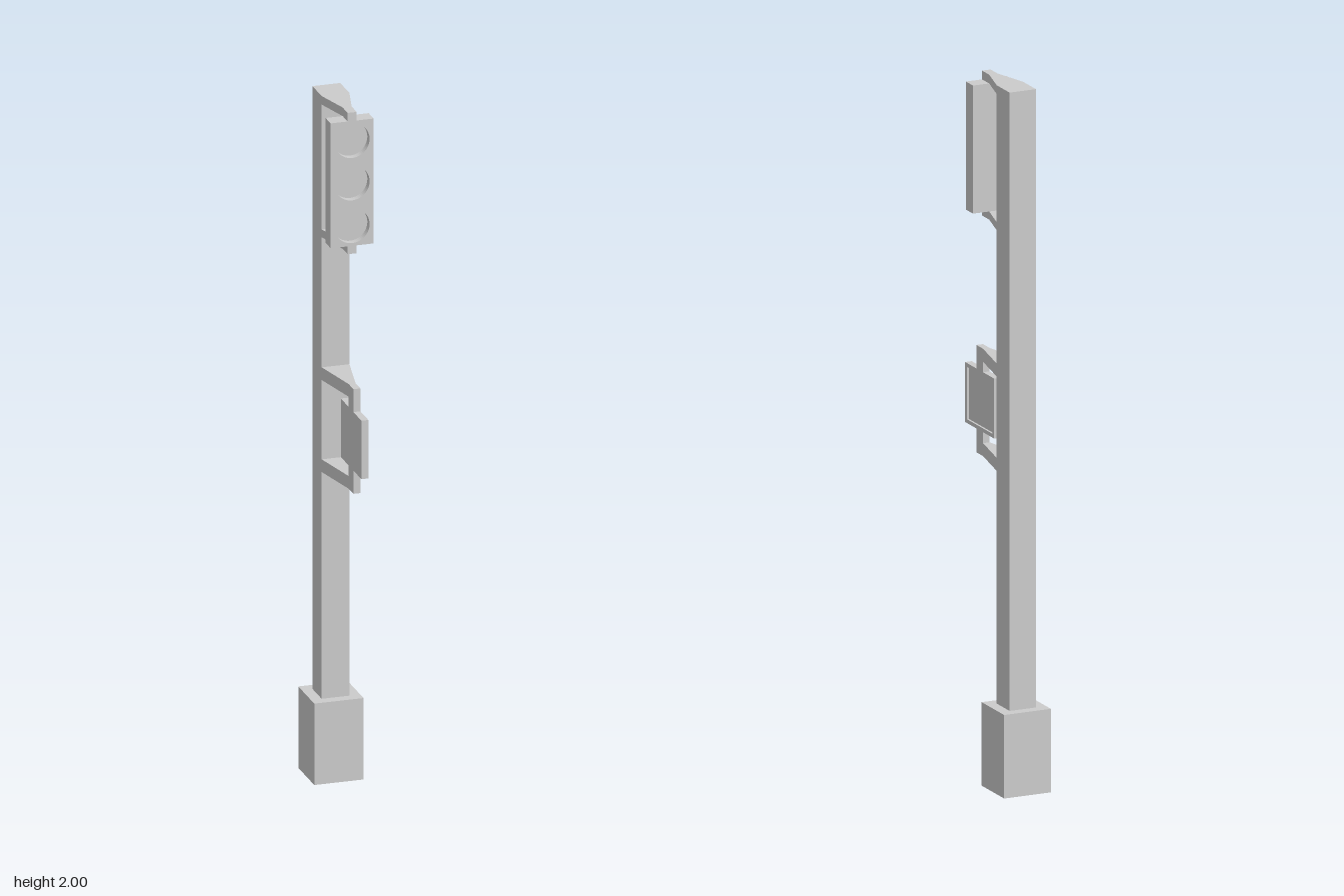
import * as THREE from 'three';

const material = new THREE.MeshStandardMaterial({ color: 0xcccccc, flatShading: true });

function add(parent, name, geometry) {
  const mesh = new THREE.Mesh(geometry, material);
  mesh.name = name;
  parent.add(mesh);
  return mesh;
}

// Box given by its limits on each axis
function box(parent, name, [x0, x1], [y0, y1], [z0, z1]) {
  const g = new THREE.BoxGeometry(x1 - x0, y1 - y0, z1 - z0);
  return add(parent, name, g.translate((x0 + x1) / 2, (y0 + y1) / 2, (z0 + z1) / 2));
}

// Horizontal arm: a mirrored plan outline of [half width, z] points, extruded upwards
function arm(parent, name, plan, y0, y1) {
  const right = plan.map(([x, z]) => new THREE.Vector2(x, -z));
  const left = plan.map(([x, z]) => new THREE.Vector2(-x, -z)).reverse();
  const g = new THREE.ExtrudeGeometry(new THREE.Shape([...right, ...left]), { depth: y1 - y0, bevelEnabled: false });
  return add(parent, name, g.rotateX(-Math.PI / 2).translate(0, y0, 0));
}

function rectangle(x0, x1, y0, y1) {
  return [[x0, y0], [x1, y0], [x1, y1], [x0, y1]].map(([x, y]) => new THREE.Vector2(x, y));
}

export function createModel() {
  const model = new THREE.Group();
  model.name = 'trafficLight';

  // Footing and pole
  box(model, 'base', [-0.071, 0.071], [0, 0.238], [-0.187, -0.045]);
  box(model, 'pole', [-0.04, 0.04], [0.238, 2], [-0.157, -0.075]);

  // Vehicle signal: housing with three sunken lenses
  const signal = new THREE.Group();
  signal.name = 'signal';
  model.add(signal);
  const face = new THREE.Shape(rectangle(-0.062, 0.062, 1.61, 1.975));
  for (const y of [1.668, 1.793, 1.917]) {
    face.holes.push(new THREE.Path().absarc(0, y, 0.05, 0, Math.PI * 2, true));
  }
  const faceGeometry = new THREE.ExtrudeGeometry(face, { depth: 0.02, bevelEnabled: false, curveSegments: 32 });
  add(signal, 'signalFace', faceGeometry.translate(0, 0, 0.053));
  box(signal, 'signalBack', [-0.062, 0.062], [1.61, 1.975], [0.028, 0.053]);

  const signalPlan = [[0.04, -0.075], [0.013, 0.028], [0.013, 0.073]];
  arm(signal, 'upperSignalArm', signalPlan, 1.975, 2);
  arm(signal, 'lowerSignalArm', signalPlan, 1.587, 1.61);

  // Side sign: shallow rim around a panel, facing +x
  const sign = new THREE.Group();
  sign.name = 'sideSign';
  model.add(sign);
  const rim = new THREE.Shape(rectangle(-0.186, -0.003, 0.969, 1.14));
  rim.holes.push(new THREE.Path(rectangle(-0.175, -0.014, 0.98, 1.129).reverse()));
  const rimGeometry = new THREE.ExtrudeGeometry(rim, { depth: 0.006, bevelEnabled: false });
  add(sign, 'signRim', rimGeometry.rotateY(Math.PI / 2).translate(0.004, 0, 0));
  box(sign, 'signPanel', [-0.01, 0.004], [0.969, 1.14], [0.003, 0.186]);

  // Sign brackets: tapered arms with a short post towards the sign
  const signPlan = [[0.04, -0.075], [0.01, 0.073], [0.01, 0.115]];
  arm(sign, 'upperSignArm', signPlan, 1.17, 1.207);
  arm(sign, 'lowerSignArm', signPlan, 0.901, 0.938);
  box(sign, 'upperSignPost', [-0.01, 0.01], [1.14, 1.17], [0.073, 0.115]);
  box(sign, 'lowerSignPost', [-0.01, 0.01], [0.938, 0.969], [0.073, 0.115]);

  return model;
}
